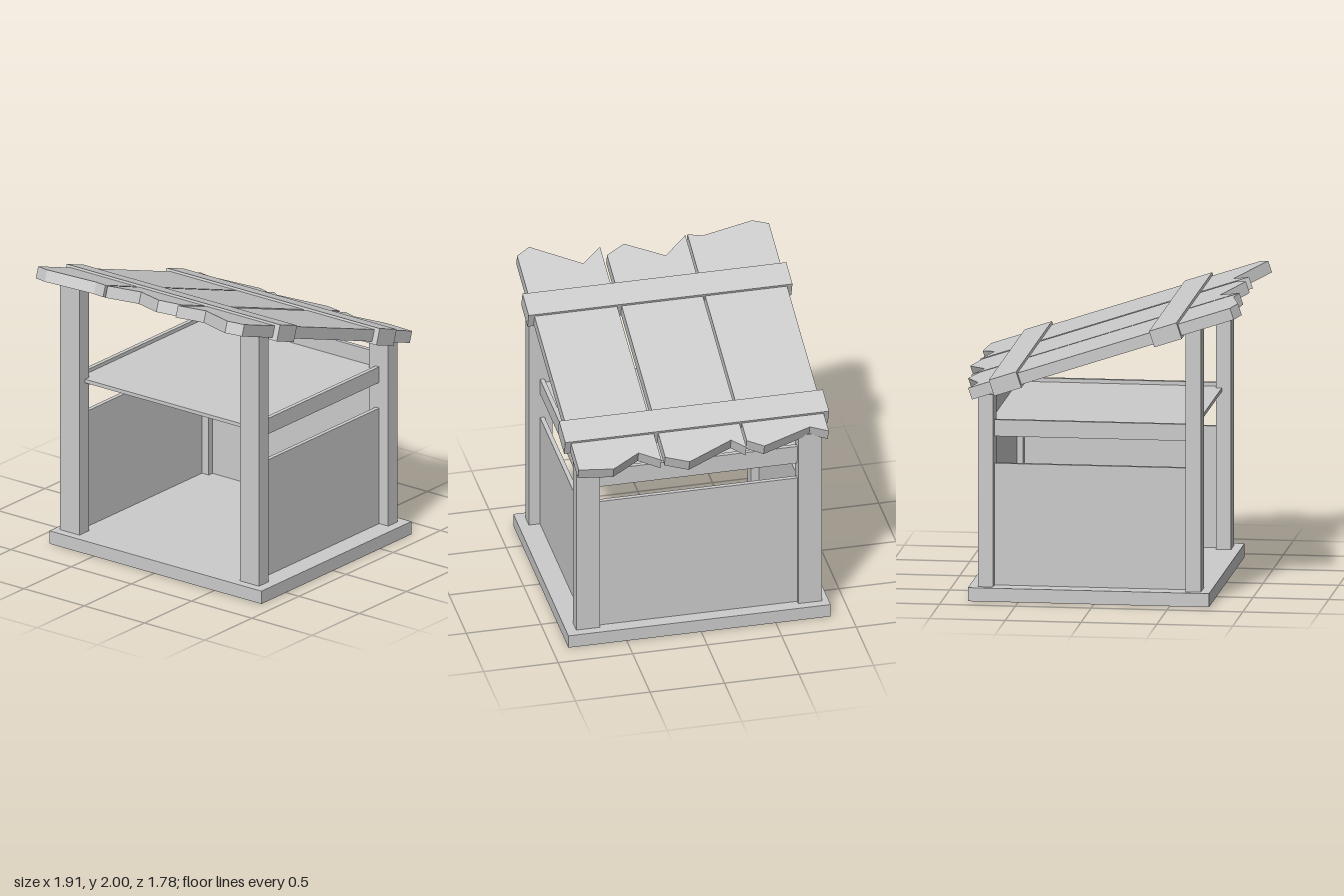
import * as THREE from 'three';

const material = new THREE.MeshStandardMaterial({ color: 0xcccccc, flatShading: true });
const shellMaterial = new THREE.MeshStandardMaterial({ color: 0xcccccc, flatShading: true, side: THREE.DoubleSide });

// Box given by its lower and upper limits on each axis
function box(name, [x0, x1], [y0, y1], [z0, z1]) {
  const mesh = new THREE.Mesh(new THREE.BoxGeometry(x1 - x0, y1 - y0, z1 - z0), material);
  mesh.position.set((x0 + x1) / 2, (y0 + y1) / 2, (z0 + z1) / 2);
  mesh.name = name;
  return mesh;
}

// Base: shallow box, open underneath
function createBase() {
  const geometry = new THREE.BoxGeometry(1.59, 0.09, 1.76);
  const index = Array.from(geometry.index.array);
  index.splice(18, 6); // bottom face
  geometry.setIndex(index);
  geometry.clearGroups();
  const base = new THREE.Mesh(geometry, shellMaterial);
  base.position.set(0.035, 0.045, 0.012);
  base.name = 'base';
  return base;
}

const SLOPE = Math.atan(0.333);
const PLANK = 0.08;

// Roof plank with ragged ends; outline is [x, z] seen from above
function createPlank(outline) {
  const shift = (Math.sin(SLOPE) * PLANK) / 2;
  const shape = new THREE.Shape(
    outline.map(([x, z]) => new THREE.Vector2((x - shift) / Math.cos(SLOPE), z))
  );
  const geometry = new THREE.ExtrudeGeometry(shape, { depth: PLANK, bevelEnabled: false });
  geometry.rotateX(Math.PI / 2);
  geometry.translate(0, PLANK / 2, 0);
  const plank = new THREE.Mesh(geometry, material);
  plank.name = 'roofPlank';
  return plank;
}

function createRoof() {
  const roof = new THREE.Group();
  roof.name = 'roof';
  const outlines = [
    [[-0.895, -0.855], [-0.935, -0.75], [-0.86, -0.4], [-0.885, -0.305],
      [0.83, -0.305], [0.89, -0.41], [0.78, -0.74], [0.83, -0.855]],
    [[-0.88, -0.29], [-0.735, -0.125], [-0.87, 0.125], [-0.795, 0.255],
      [0.885, 0.255], [0.945, 0.105], [0.81, -0.205], [0.885, -0.29]],
    [[-0.87, 0.285], [-0.75, 0.425], [-0.935, 0.745], [-0.875, 0.84],
      [0.905, 0.84], [0.93, 0.61], [0.825, 0.42], [0.905, 0.285]],
  ];
  for (const outline of outlines) roof.add(createPlank(outline));

  // Cross battens wrapping the planks
  for (const x of [-0.475, 0.582]) {
    const u = x / Math.cos(SLOPE);
    roof.add(box('roofBatten', [u - 0.095, u + 0.095], [-0.056, 0.056], [-0.89, 0.88]));
  }
  roof.position.y = 1.65;
  roof.rotation.z = -SLOPE;
  return roof;
}

export function createModel() {
  const model = new THREE.Group();
  model.name = 'stall';
  model.add(createBase());

  for (const side of [1, -1]) {
    const span = (a, b) => (side > 0 ? [a, b] : [-b, -a]);
    const end = side > 0 ? 'front' : 'back';
    // Corner posts: tall at the right, short at the left
    model.add(box(end + 'RightPost', [-0.7, -0.6], [0.08, 1.835], span(0.665, 0.825)));
    model.add(box(end + 'LeftPost', [0.67, 0.77], [0.08, 1.37], span(0.665, 0.825)));
    // Wall panel and rail between the posts
    model.add(box(end + 'Panel', [-0.65, 0.72], [0.08, 0.9], span(0.72, 0.75)));
    model.add(box(end + 'Rail', [-0.65, 0.72], [1.08, 1.19], span(0.72, 0.75)));
  }

  // Left wall panel and rail; the right side stays open
  model.add(box('leftPanel', [0.71, 0.74], [0.08, 1.03], [-0.7, 0.7]));
  model.add(box('leftRail', [0.71, 0.74], [1.165, 1.27], [-0.7, 0.7]));

  // Shelf resting between the rails
  model.add(box('shelf', [-0.64, 0.735], [1.14, 1.165], [-0.73, 0.73]));

  model.add(createRoof());
  return model;
}
